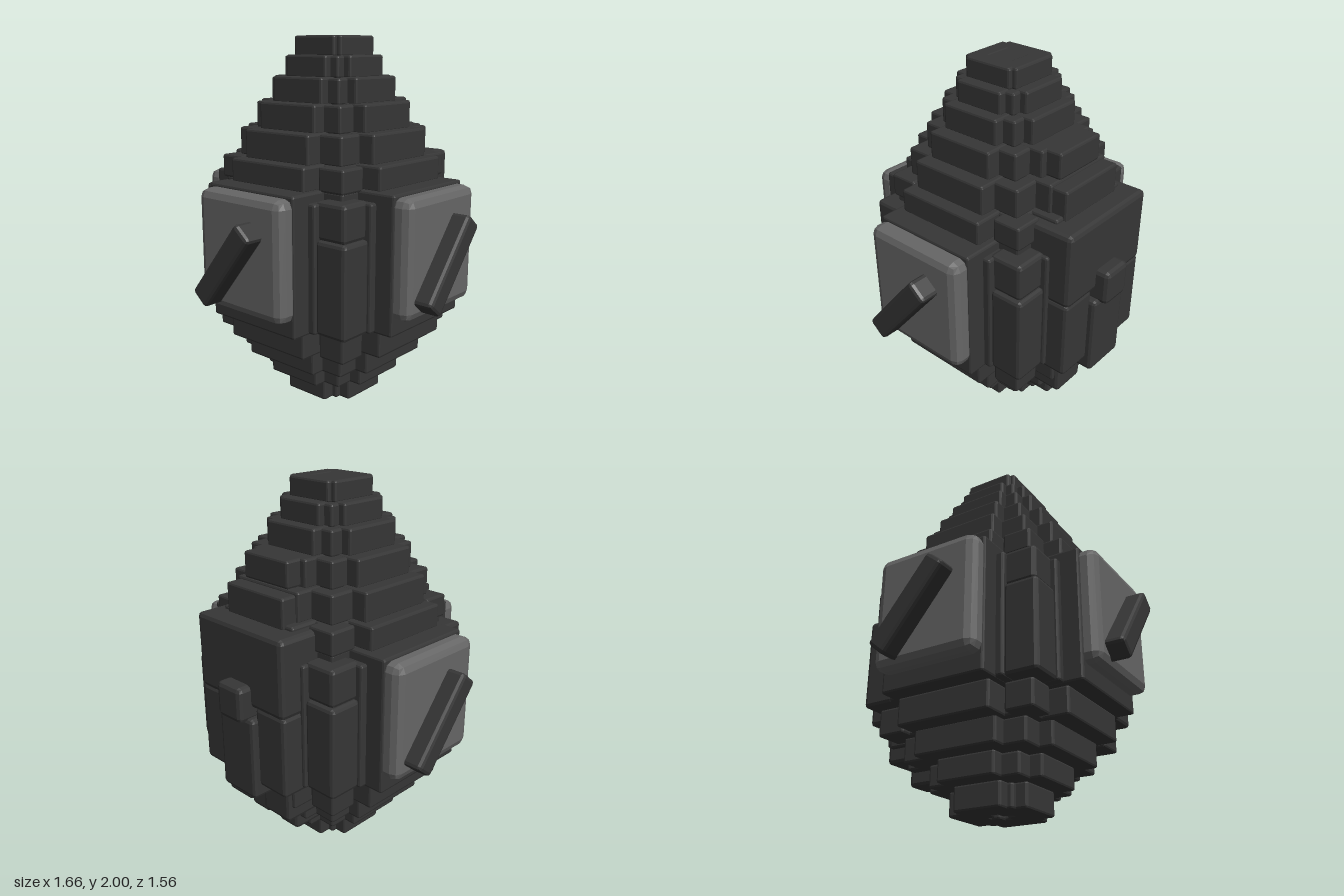
import * as THREE from 'three';
import { RoundedBoxGeometry } from 'three/addons/geometries/RoundedBoxGeometry.js';

const charcoal = new THREE.MeshStandardMaterial({ color: 0x363636, flatShading: true });
charcoal.name = 'charcoal';
const grey = new THREE.MeshStandardMaterial({ color: 0x666666, flatShading: true });
grey.name = 'grey';

// Chamfered box given by its minimum and maximum on each axis
function block(parent, name, x, y, z, material = charcoal, bevel = 0.012) {
  const geometry = new RoundedBoxGeometry(x[1] - x[0], y[1] - y[0], z[1] - z[0], 1, bevel);
  const mesh = new THREE.Mesh(geometry, material);
  mesh.name = name;
  mesh.position.set((x[0] + x[1]) / 2, (y[0] + y[1]) / 2, (z[0] + z[1]) / 2);
  parent.add(mesh);
  return mesh;
}

// Tiers: bottom, top, arm reach, arm half-width, corner reach
const TIERS = [
  [0.00, 0.135, 0.235, 0.14, 0.17],
  [0.13, 0.255, 0.34, 0.17, 0.27],
  [0.25, 0.39, 0.44, 0.24, 0.365],
  [0.38, 0.53, 0.545, 0.27, 0.46],
  [0.525, 1.25, 0.64, 0.30, 0],
  [1.24, 1.37, 0.525, 0.26, 0.435],
  [1.36, 1.52, 0.455, 0.225, 0.365],
  [1.51, 1.66, 0.375, 0.195, 0.30],
  [1.65, 1.79, 0.295, 0.17, 0.24],
  [1.78, 1.90, 0.23, 0.14, 0.19],
  [1.89, 2.00, 0.165, 0.14, 0.145],
];

export function createModel() {
  const model = new THREE.Group();
  model.name = 'steppedEgg';
  const body = new THREE.Group();
  body.name = 'body';
  body.position.z = -0.05;
  model.add(body);

  // Solid core, with a recess left in the underside
  TIERS.forEach(([y0, y1, , , c], i) => {
    const h = c ? Math.max(c - 0.06, 0.12) : 0.42;
    block(body, 'core', [-h, h], [i ? y0 : 0.05, y1 - 0.003], [-h, h]);
  });

  // Four sides, turned about the axis
  for (let k = 0; k < 4; k++) {
    const side = new THREE.Group();
    side.name = ['frontSide', 'leftSide', 'backSide', 'rightSide'][k];
    side.rotation.y = k * Math.PI / 2;
    body.add(side);

    for (const [y0, y1, r, a, c] of TIERS) {
      const middle = !c;
      const reach = middle && k === 2 ? 0.55 : r;
      block(side, 'tierStep', [-a, a], [y0, y1], [Math.min(0.07, r - 0.1), reach]);
      // Corner stones
      if (c) block(side, 'cornerStone', [Math.max(c - 0.16, 0.02), c], [y0, y1 - 0.004], [Math.max(c - 0.16, 0.02), c]);
    }
    // Strips beside the middle arm, and the corner pillar with its cap
    block(side, 'middleBacking', [-0.34, 0.34], [0.53, 1.2], [0.3, 0.535]);
    block(side, 'cornerPillar', [0.33, 0.52], [0.53, 1.02], [0.33, 0.52], charcoal, 0.02);
    block(side, 'pillarCap', [0.31, 0.50], [1.015, 1.21], [0.31, 0.50], charcoal, 0.02);

    // Pale plate with a slanting bar
    if (k !== 2) {
      block(side, 'palePlate', [-0.295, 0.295], [0.615, 1.235], [0.60, 0.73], grey, 0.045);
      const bar = block(side, 'slantingBar', [-0.295, 0.235], [0.82, 0.94], [0.70, 0.83], charcoal, 0.02);
      bar.rotation.z = 0.88;
    }
  }

  // Back shell, deeper than the other sides
  const back = new THREE.Group();
  back.name = 'backShell';
  model.add(back);
  block(back, 'shellStep', [-0.16, 0.16], [1.52, 1.66], [-0.51, -0.2]);
  block(back, 'shellStep', [-0.21, 0.21], [1.34, 1.505], [-0.59, -0.2]);
  block(back, 'upperPanel', [-0.32, 0.32], [0.94, 1.35], [-0.705, -0.4], charcoal, 0.025);
  block(back, 'centrePanel', [-0.13, 0.13], [0.44, 0.89], [-0.74, -0.5], charcoal, 0.02);
  block(back, 'catch', [-0.09, 0.09], [0.87, 1.06], [-0.78, -0.6], charcoal, 0.025);
  for (const s of [-1, 1]) {
    const span = (a, b) => (s > 0 ? [a, b] : [-b, -a]);
    block(back, 'lowerPanel', span(0.11, 0.32), [0.51, 0.95], [-0.70, -0.5], charcoal, 0.02);
    block(back, 'lowerStep', span(0.05, 0.25), [0.30, 0.52], [-0.62, -0.4], charcoal, 0.02);
    block(back, 'lowestStep', span(0.04, 0.19), [0.175, 0.31], [-0.51, -0.25], charcoal, 0.02);
  }
  return model;
}
